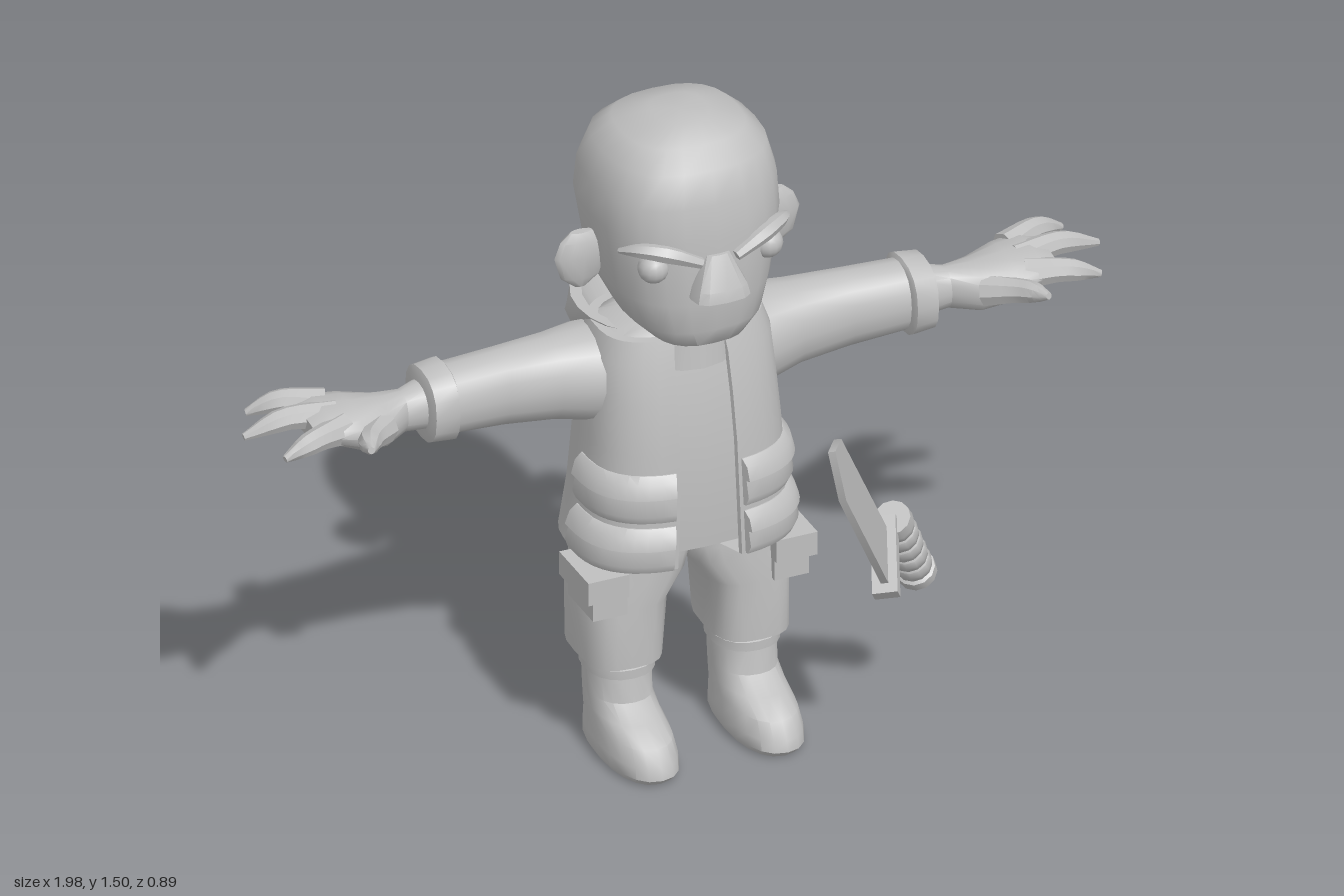
import * as THREE from 'three';
import { toCreasedNormals } from 'three/addons/utils/BufferGeometryUtils.js';

const V = (x, y, z) => new THREE.Vector3(x, y, z);

// Joins closed loops of points into a capped skin
function skin(rings) {
  const n = rings[0].length, pos = [], idx = [];
  rings.forEach(r => r.forEach(p => pos.push(p.x, p.y, p.z)));
  for (let i = 0; i < rings.length - 1; i++) {
    for (let j = 0; j < n; j++) {
      const a = i * n + j, b = i * n + (j + 1) % n, c = b + n, d = a + n;
      idx.push(a, d, b, b, d, c);
    }
  }
  [0, rings.length - 1].forEach((r, end) => {
    const mid = rings[r].reduce((s, p) => s.add(p), V(0, 0, 0)).divideScalar(n);
    const m = pos.length / 3;
    pos.push(mid.x, mid.y, mid.z);
    for (let j = 0; j < n; j++) {
      const a = r * n + j, b = r * n + (j + 1) % n;
      idx.push(m, end ? b : a, end ? a : b);
    }
  });
  const g = new THREE.BufferGeometry();
  g.setAttribute('position', new THREE.Float32BufferAttribute(pos, 3));
  g.setIndex(idx);
  return g;
}

// Point on a rounded-square section; row = [y, zFront, zBack, halfWidth, centreX]
function onSection([y, zf, zb, hw, cx = 0], angle, e, grow = 0) {
  const p = v => Math.sign(v) * Math.abs(v) ** (2 / e);
  return V(cx + (hw + grow) * p(Math.cos(angle)), y,
    (zf + zb) / 2 + ((zf - zb) / 2 + grow) * p(Math.sin(angle)));
}

function loft(rows, e = 2.4, n = 20) {
  return skin(rows.map(r => Array.from({ length: n }, (_, j) => onSection(r, j / n * Math.PI * 2, e))));
}

// Curved slab over part of a section; each entry is [row, thickness]
function slab(entries, a0, a1, e, n) {
  const angles = Array.from({ length: n + 1 }, (_, j) => THREE.MathUtils.degToRad(a0 + (a1 - a0) * j / n));
  return skin(entries.map(([row, t]) => [
    ...angles.map(a => onSection(row, a, e, t)),
    ...angles.slice().reverse().map(a => onSection(row, a, e, -0.006)),
  ]));
}

// Tapered tube through points
function limb(points, radii, sides = 8, steps = 8) {
  const curve = new THREE.CatmullRomCurve3(points.map(p => V(...p)));
  const f = curve.computeFrenetFrames(steps, false);
  const rings = [];
  for (let i = 0; i <= steps; i++) {
    const t = i / steps * (radii.length - 1), k = Math.min(Math.floor(t), radii.length - 2);
    const r = THREE.MathUtils.lerp(radii[k], radii[k + 1], t - k);
    rings.push(Array.from({ length: sides }, (_, j) => {
      const a = j / sides * Math.PI * 2;
      return curve.getPoint(i / steps)
        .addScaledVector(f.normals[i], r * Math.cos(a)).addScaledVector(f.binormals[i], -r * Math.sin(a));
    }));
  }
  return skin(rings);
}

export function createModel() {
  const model = new THREE.Group();
  const grey = new THREE.MeshStandardMaterial({ color: 0xbfbfbf });
  grey.name = 'grey';

  const add = (name, geo, parent = model, crease = 0.75) => {
    const mesh = new THREE.Mesh(toCreasedNormals(geo, crease), grey);
    mesh.name = name;
    parent.add(mesh);
    return mesh;
  };
  // Adds the part on +x and its mirror image on -x
  const pair = (name, geo) => {
    const m = geo.clone().scale(-1, 1, 1);
    m.setIndex(Array.from(m.index.array).reverse());
    add(name + 'Left', geo);
    add(name + 'Right', m);
  };
  const box = (w, h, d, x, y, z) => new THREE.BoxGeometry(w, h, d).translate(x, y, z);

  // Head and face
  add('head', loft([
    [1.0, -0.01, -0.14, 0.06], [1.02, 0.022, -0.21, 0.105], [1.06, 0.035, -0.28, 0.148],
    [1.13, 0.04, -0.37, 0.178], [1.285, 0.045, -0.39, 0.203], [1.36, 0.03, -0.372, 0.2],
    [1.435, 0.012, -0.34, 0.178], [1.475, -0.03, -0.295, 0.135], [1.5, -0.09, -0.22, 0.06],
  ], 2.6, 24));
  add('neck', new THREE.CylinderGeometry(0.1, 0.12, 0.14, 16).translate(0, 1.0, -0.15));
  add('nose', loft([
    [1.14, 0.06, 0.0, 0.05], [1.155, 0.093, 0.0, 0.066], [1.18, 0.088, 0.0, 0.06], [1.25, 0.052, 0.0, 0.028],
  ], 3, 12), model, 0.5);
  pair('eye', new THREE.SphereGeometry(0.034, 14, 10).translate(0.132, 1.225, 0.002));
  pair('eyebrow', limb([[0.04, 1.238, 0.048], [0.11, 1.268, 0.034], [0.165, 1.274, 0.002], [0.195, 1.262, -0.035]],
    [0.012, 0.02, 0.016, 0.006], 6));
  pair('ear', loft([
    [1.115, -0.16, -0.18, 0.015, 0.225], [1.14, -0.15, -0.185, 0.045, 0.225], [1.19, -0.148, -0.19, 0.062, 0.222],
    [1.225, -0.15, -0.19, 0.055, 0.215], [1.245, -0.16, -0.18, 0.025, 0.222],
  ], 2, 12));

  // Shirt and open jacket
  const jacketRows = [
    [0.475, 0.0, -0.36, 0.238], [0.6, 0.0, -0.345, 0.222], [0.75, -0.008, -0.33, 0.212],
    [0.86, -0.025, -0.33, 0.205], [0.95, -0.045, -0.32, 0.198], [1.0, -0.06, -0.3, 0.18],
  ];
  const jacketAt = y => {
    const i = Math.max(0, jacketRows.findIndex(r => r[0] >= y) - 1);
    const a = jacketRows[i], b = jacketRows[i + 1], t = (y - a[0]) / (b[0] - a[0]);
    return a.map((v, k) => v + (b[k] - v) * t);
  };
  add('shirt', loft([[0.5, -0.02, -0.34, 0.21], ...jacketRows.slice(1).map(([y, f, b, w]) => [y, f - 0.016, b + 0.016, w - 0.016]),
    [1.02, -0.09, -0.26, 0.12]], 2.8, 24));
  add('jacket', slab([[jacketRows[0], -0.006], ...jacketRows.map(r => [r, 0.004]), [jacketRows[5], -0.006]], 101, 439, 2.8, 32));
  const pocket = (low, high) => slab([
    [low, -0.006], [low, 0.01], [low + 0.02, 0.02], [low + (high - low) * 0.55, 0.016],
    [low + (high - low) * 0.57, 0.026], [high - 0.015, 0.02], [high, 0.006], [high, -0.006],
  ].map(([y, t]) => [jacketAt(y), t]), 0, 77, 2.8, 10);
  pair('upperJacketPocket', pocket(0.595, 0.705));
  pair('lowerJacketPocket', pocket(0.476, 0.58));

  // Hood hanging on the back, hollow at the top
  add('hood', loft([
    [0.75, -0.3, -0.345, 0.07], [0.78, -0.28, -0.38, 0.115], [0.88, -0.25, -0.41, 0.155], [0.95, -0.2, -0.432, 0.185],
    [1.005, -0.07, -0.442, 0.19], [1.005, -0.09, -0.42, 0.165], [0.92, -0.12, -0.38, 0.12],
  ], 2.1, 24));

  // Sleeves, cuffs and hands, lofted upwards and then laid along x
  const across = (rows, e) => loft(rows, e, 16).rotateZ(-Math.PI / 2);
  pair('sleeve', across([
    [0.1, -0.09, -0.31, 0.11, -0.875], [0.2, -0.1, -0.315, 0.105, -0.88], [0.28, -0.125, -0.295, 0.094, -0.885],
    [0.4, -0.13, -0.27, 0.086, -0.895], [0.55, -0.125, -0.26, 0.078, -0.9],
  ], 2.2));
  pair('cuff', across([
    [0.525, -0.12, -0.265, 0.08, -0.9], [0.53, -0.105, -0.278, 0.087, -0.9],
    [0.582, -0.112, -0.274, 0.082, -0.898], [0.588, -0.13, -0.255, 0.066, -0.898],
  ], 2.4));
  pair('palm', across([
    [0.57, -0.135, -0.25, 0.055, -0.9], [0.63, -0.15, -0.228, 0.047, -0.895], [0.69, -0.11, -0.24, 0.055, -0.895],
    [0.76, -0.085, -0.268, 0.05, -0.908], [0.82, -0.09, -0.275, 0.036, -0.922], [0.86, -0.11, -0.26, 0.02, -0.922],
  ], 2.2));
  const fingers = [
    [[0.79, 0.925, -0.235], [0.87, 0.935, -0.268], [0.945, 0.912, -0.29]],
    [[0.79, 0.925, -0.18], [0.89, 0.935, -0.195], [0.99, 0.91, -0.2]],
    [[0.79, 0.92, -0.13], [0.87, 0.925, -0.1], [0.945, 0.905, -0.087]],
    [[0.7, 0.9, -0.13], [0.76, 0.92, -0.06], [0.785, 0.935, 0.002]],
  ];
  fingers.forEach((p, i) => pair(i < 3 ? 'finger' + (i + 1) : 'thumb', limb(p, [0.036, 0.028, 0.024, 0.008])));

  // Trousers with side pockets
  pair('trouserLeg', loft([
    [0.22, -0.055, -0.285, 0.088, 0.147], [0.36, -0.055, -0.285, 0.095, 0.142],
    [0.42, -0.058, -0.292, 0.112, 0.115], [0.46, -0.06, -0.3, 0.118, 0.108], [0.54, -0.065, -0.3, 0.11, 0.1],
  ], 3));
  pair('legPocket', box(0.08, 0.095, 0.13, 0.21, 0.41, -0.11));
  pair('legPocketFlap', box(0.095, 0.055, 0.15, 0.218, 0.437, -0.11));

  // Boots
  pair('boot', loft([
    [0, 0.065, -0.24, 0.07, 0.145], [0.015, 0.08, -0.25, 0.078, 0.145], [0.04, 0.075, -0.25, 0.077, 0.145],
    [0.075, 0.05, -0.248, 0.073, 0.145], [0.1, -0.015, -0.246, 0.07, 0.145], [0.13, -0.065, -0.244, 0.068, 0.145],
    [0.18, -0.075, -0.242, 0.07, 0.145], [0.24, -0.085, -0.235, 0.065, 0.145],
  ], 2.3));
  pair('bootCuff', loft([
    [0.182, -0.08, -0.235, 0.066, 0.145], [0.187, -0.068, -0.247, 0.076, 0.145],
    [0.208, -0.068, -0.247, 0.076, 0.145], [0.214, -0.08, -0.235, 0.066, 0.145],
  ], 2.3));

  // Knife: local x is the blade width, local y points to the tip
  const knife = new THREE.Group();
  knife.name = 'knife';
  const up = V(-0.42, 0.79, 0.44).normalize();
  const flat = V(-0.31, -0.58, 0.75).cross(up).normalize();
  const wide = up.clone().cross(flat);
  knife.quaternion.setFromRotationMatrix(new THREE.Matrix4().makeBasis(wide, up, flat));
  knife.position.set(0.32, 0.51, 0.19);
  model.add(knife);
  const outline = new THREE.Shape([[-0.062, 0], [0.068, 0], [0.068, 0.455], [0, 0.56], [-0.06, 0.49]]
    .map(p => new THREE.Vector2(...p)));
  add('blade', new THREE.ExtrudeGeometry(outline, { depth: 0.016, bevelEnabled: false }).translate(0, 0, -0.008), knife);
  add('guard', box(0.18, 0.03, 0.055, 0, 0, 0), knife);

  // Ribbed handle
  const grip = [[0, 0], [0.04, 0]];
  for (let i = 0; i < 5; i++) {
    const y = 0.008 + i * 0.046;
    grip.push([0.04, y], [0.043, y + 0.018], [0.04, y + 0.036], [0.034, y + 0.041]);
  }
  grip.push([0.044, 0.238], [0.044, 0.262], [0, 0.262]);
  const handle = add('handle', new THREE.LatheGeometry(grip.map(p => new THREE.Vector2(...p)), 12));
  const start = V(0.472, 0.342, 0.022), end = V(0.362, 0.565, 0.132);
  handle.position.copy(end);
  handle.quaternion.setFromUnitVectors(V(0, 1, 0), start.sub(end).normalize());

  return model;
}
